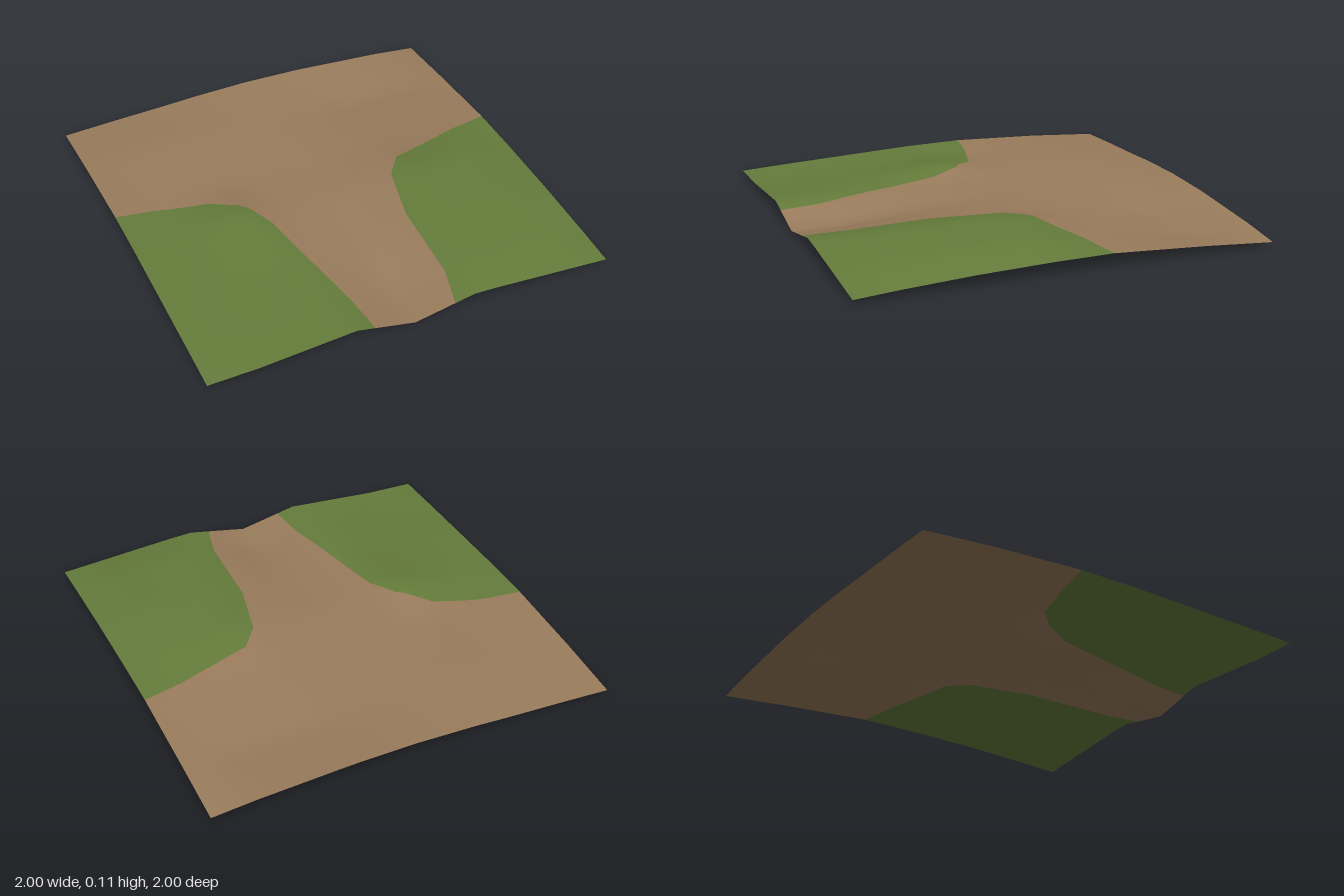
import * as THREE from 'three';

// Coarse relief: one row of heights per GRID_Z, one column per GRID_X
const GRID_X = [-1, -0.75, -0.45, -0.29, 0, 0.3, 0.42, 0.78, 1];
const GRID_Z = [-1, -0.65, -0.2, 0.08, 0.45, 0.8, 1];
const HEIGHTS = [
  [0.02, 0.035, 0.05, 0.06, 0.07, 0.066, 0.06, 0.04, 0.02],
  [0.045, 0.058, 0.07, 0.07, 0.058, 0.035, 0.02, 0.022, 0.045],
  [0.064, 0.06, 0.065, 0.062, 0.055, 0.055, 0.062, 0.07, 0.07],
  [0.06, 0.065, 0.113, 0.072, 0.06, 0.08, 0.106, 0.098, 0.067],
  [0.045, 0.05, 0.07, 0.068, 0.035, 0.082, 0.1, 0.094, 0.055],
  [0.03, 0.032, 0.055, 0.065, 0, 0.075, 0.088, 0.068, 0.035],
  [0.02, 0.027, 0.052, 0.065, 0.004, 0.065, 0.06, 0.035, 0.02],
];

// Edge of the grass, as x and z pairs
const LEFT_OF_PATH = [[-1, -0.2], [-0.8, -0.17], [-0.56, -0.1], [-0.41, 0.03], [-0.34, 0.17],
  [-0.27, 0.55], [-0.22, 0.8], [-0.2, 1]];
const RIGHT_OF_PATH = [[0.2, 1], [0.25, 0.8], [0.27, 0.37], [0.34, 0.07], [0.43, -0.05],
  [0.57, -0.09], [0.8, -0.16], [1, -0.2]];
const EDGE = [...LEFT_OF_PATH, ...RIGHT_OF_PATH];

function locate(list, v) {
  let i = 0;
  while (i < list.length - 2 && v > list[i + 1]) i++;
  return [i, (v - list[i]) / (list[i + 1] - list[i])];
}

function heightAt(x, z) {
  const [i, u] = locate(GRID_X, x);
  const [j, v] = locate(GRID_Z, z);
  const row = (r) => THREE.MathUtils.lerp(HEIGHTS[r][i], HEIGHTS[r][i + 1], u);
  return THREE.MathUtils.lerp(row(j), row(j + 1), v);
}

function normalAt(x, z) {
  const d = 0.08;
  return new THREE.Vector3(
    (heightAt(x - d, z) - heightAt(x + d, z)) / (2 * d), 1,
    (heightAt(x, z - d) - heightAt(x, z + d)) / (2 * d)).normalize();
}

function edgeAt(x) {
  const [i, u] = locate(EDGE.map((p) => p[0]), x);
  return THREE.MathUtils.lerp(EDGE[i][1], EDGE[i + 1][1], u);
}

// Sheet of ground between two z limits, over a list of x columns
function groundSheet(name, columns, zStart, zEnd, material) {
  const rows = 28, positions = [], normals = [], index = [];
  columns.forEach((x, i) => {
    for (let j = 0; j <= rows; j++) {
      const z = THREE.MathUtils.lerp(zStart(x), zEnd(x), j / rows);
      positions.push(x, heightAt(x, z), z);
      normals.push(...normalAt(x, z).toArray());
      if (i === 0 || j === 0) continue;
      const b = i * (rows + 1) + j, a = b - rows - 1;
      index.push(a - 1, a, b - 1, a, b, b - 1);
    }
  });
  const geometry = new THREE.BufferGeometry();
  geometry.setAttribute('position', new THREE.Float32BufferAttribute(positions, 3));
  geometry.setAttribute('normal', new THREE.Float32BufferAttribute(normals, 3));
  geometry.setIndex(index);
  const mesh = new THREE.Mesh(geometry, material);
  mesh.name = name;
  return mesh;
}

export function createModel() {
  const dirt = new THREE.MeshStandardMaterial({ color: 0x9a7c5c, side: THREE.DoubleSide });
  dirt.name = 'dirt';
  const grass = new THREE.MeshStandardMaterial({ color: 0x657c3b, side: THREE.DoubleSide });
  grass.name = 'grass';

  // Columns follow the relief, the grass edge and an even spacing
  const even = Array.from({ length: 41 }, (_, i) => -1 + i * 0.05);
  const columns = [...new Set([...even, ...GRID_X, ...EDGE.map((p) => p[0])]
    .map((x) => Math.round(x * 100) / 100))].sort((a, b) => a - b);

  const model = new THREE.Group();
  model.name = 'pathJunction';
  model.add(
    groundSheet('dirtPath', columns, () => -1, edgeAt, dirt),
    groundSheet('rightGrass', columns.filter((x) => x <= -0.2), edgeAt, () => 1, grass),
    groundSheet('leftGrass', columns.filter((x) => x >= 0.2), edgeAt, () => 1, grass),
  );
  return model;
}
